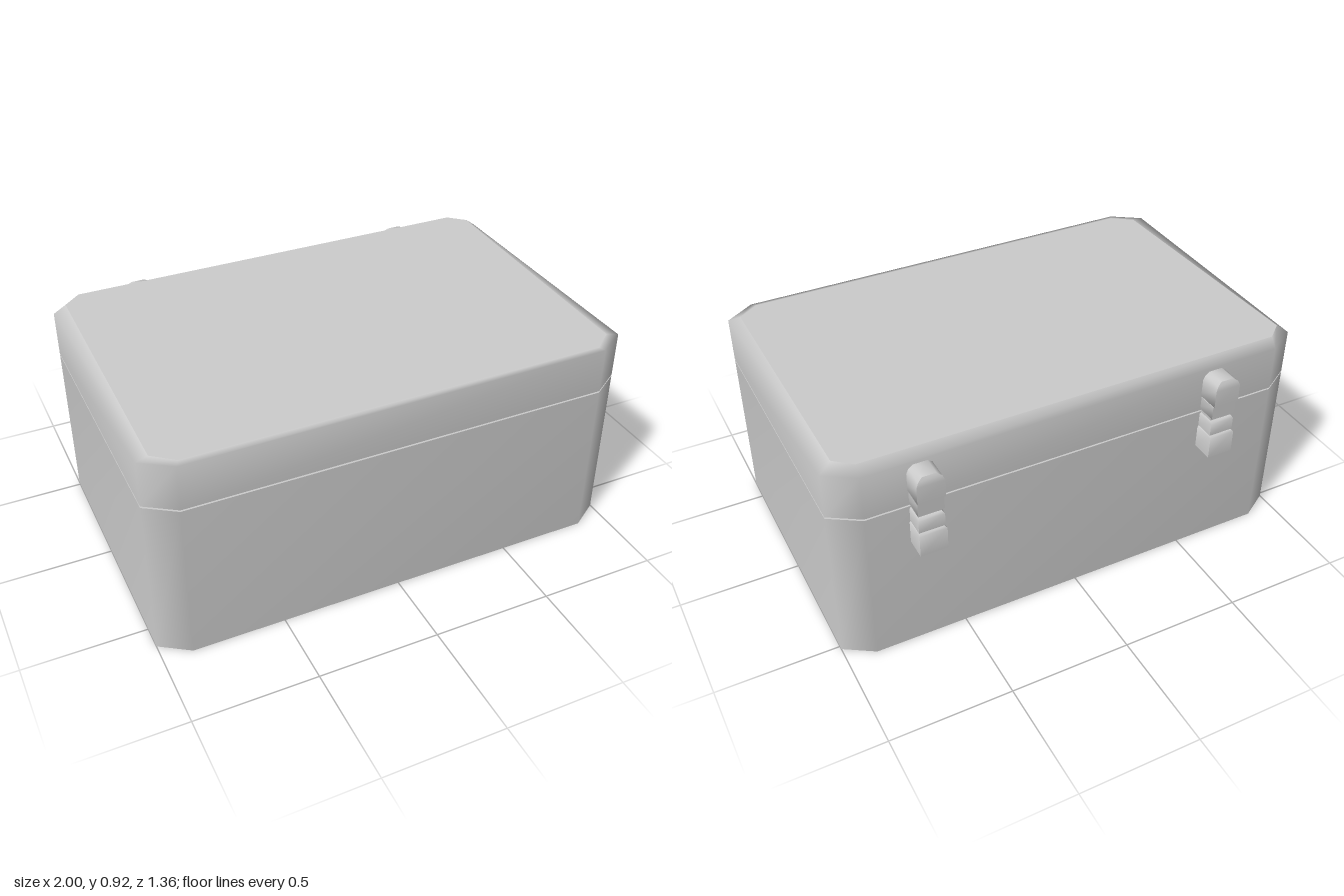
import * as THREE from 'three';
import { mergeGeometries, toCreasedNormals } from 'three/addons/utils/BufferGeometryUtils.js';

const material = () => new THREE.MeshStandardMaterial({ color: 0xcccccc });

function geometryOf(points, index) {
  const g = new THREE.BufferGeometry();
  g.setAttribute('position', new THREE.Float32BufferAttribute(points.flat(), 3));
  g.setIndex(index);
  g.computeVertexNormals();
  return g;
}

// Joins rings (lowest first, counter-clockwise from above) with smooth walls and flat caps.
function loft(rings) {
  const n = rings[0].length;
  const walls = [], top = [], bottom = [];
  for (let r = 0; r < rings.length - 1; r++) {
    for (let i = 0; i < n; i++) {
      const a = r * n + i, b = r * n + (i + 1) % n;
      walls.push(a, b, b + n, a, b + n, a + n);
    }
  }
  for (let i = 1; i < n - 1; i++) {
    top.push(0, i, i + 1);
    bottom.push(0, i + 1, i);
  }
  return mergeGeometries([
    geometryOf(rings.flat(), walls),
    geometryOf(rings[n > 0 ? rings.length - 1 : 0], top),
    geometryOf(rings[0], bottom),
  ]);
}

// Mirrors the right-hand half of an outline; height may depend on z.
function outline(half, height) {
  const mirrored = half.map(([x, z]) => [-x, z]).reverse();
  return [...half, ...mirrored].map(([x, z]) => [x, height(z), z]);
}

function addMesh(parent, name, geometry) {
  const mesh = new THREE.Mesh(geometry, material());
  mesh.name = name;
  parent.add(mesh);
  return mesh;
}

// One hinge segment from [y, half width, back z] sections.
function hingeBlock(sections) {
  const rings = sections.map(([y, w, back]) =>
    [[w, y, -0.57], [w, y, back], [-w, y, back], [-w, y, -0.57]]);
  return toCreasedNormals(loft(rings), 0.9);
}

export function createModel() {
  const group = new THREE.Group();
  group.name = 'box';

  const outer = [[0.88, 0.68], [1, 0.6], [1, -0.515], [0.88, -0.59]];
  const inner = [[0.865, 0.655], [0.95, 0.59], [0.95, -0.5], [0.88, -0.56]];

  // Straight-walled body with clipped corners
  addMesh(group, 'body', loft([outline(outer, () => 0), outline(outer, () => 0.68)]));

  // Lid with a bevelled rim and a top that rises towards the hinges
  addMesh(group, 'lid', loft([
    outline(outer, () => 0.687),
    outline(outer, () => 0.877),
    outline(inner, (z) => 0.917 - (z + 0.56) * 0.028),
  ]));

  // Two stepped hinges on the back, with domed tops
  const parts = {
    hingeFoot: [[0.51, 0.055, -0.68], [0.605, 0.055, -0.68], [0.613, 0.047, -0.67]],
    hingeLowerKnuckle: [[0.613, 0.052, -0.67], [0.668, 0.052, -0.67], [0.676, 0.046, -0.66]],
    hingePin: [[0.674, 0.046, -0.655], [0.69, 0.046, -0.655]],
    hingeUpperKnuckle: [[0.688, 0.046, -0.66], [0.694, 0.052, -0.67], [0.75, 0.052, -0.67]],
    hingeCap: [[0.75, 0.047, -0.67], [0.757, 0.055, -0.68], [0.832, 0.055, -0.68],
      [0.852, 0.046, -0.676], [0.865, 0.028, -0.668]],
  };
  for (const [name, x] of [['rightHinge', -0.595], ['leftHinge', 0.655]]) {
    const hinge = new THREE.Group();
    hinge.name = name;
    hinge.position.x = x;
    for (const [part, sections] of Object.entries(parts)) addMesh(hinge, part, hingeBlock(sections));
    group.add(hinge);
  }
  return group;
}
